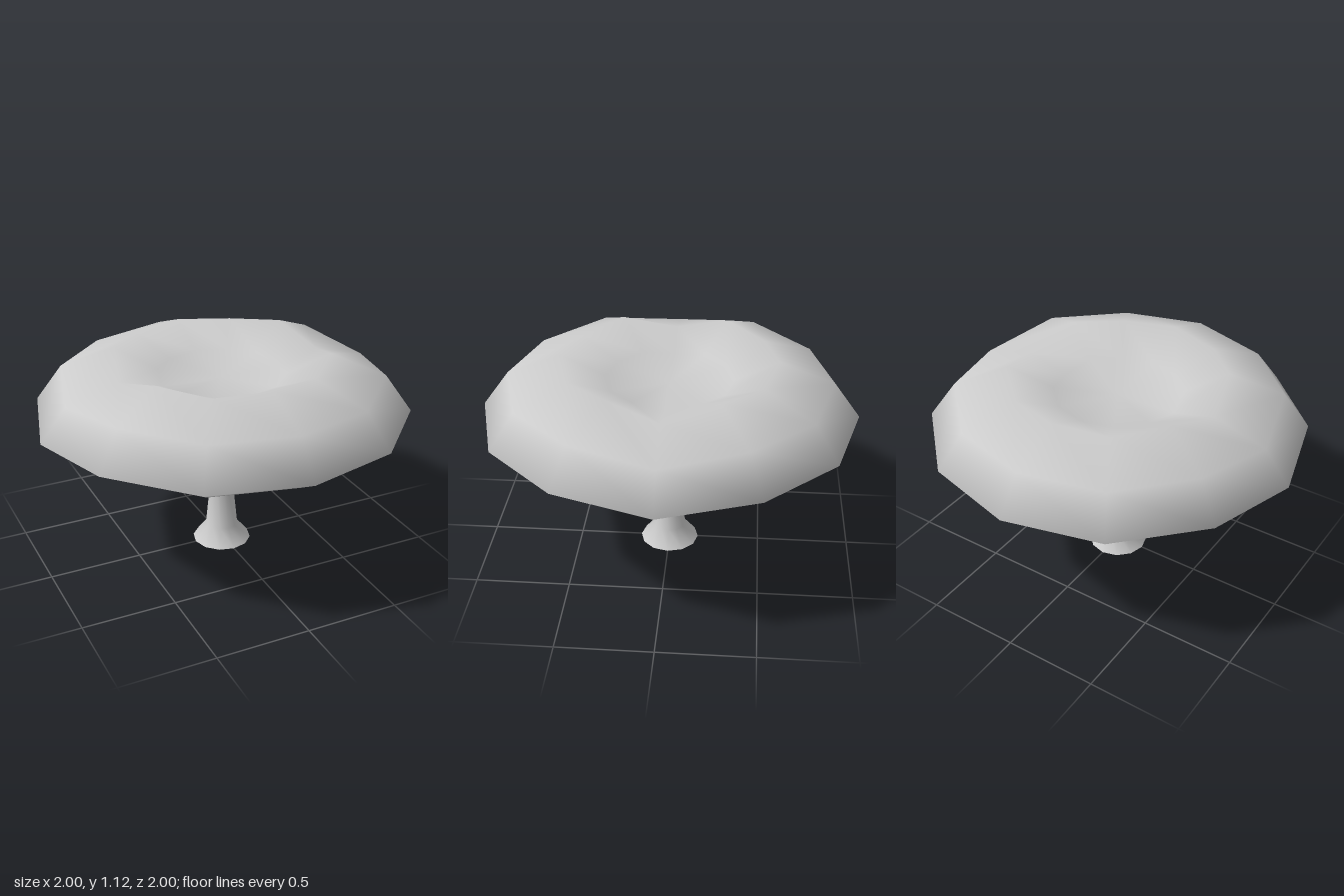
import * as THREE from 'three';
import { mergeVertices } from 'three/addons/utils/BufferGeometryUtils.js';

const SIDES = 12;

// Lathe a profile of [radius, y, sag]; sag is how far the ring dips toward the x axis.
function ringSurface(profile) {
  let geo = new THREE.LatheGeometry(profile.map(([r, y]) => new THREE.Vector2(r, y)), SIDES);
  const pos = geo.attributes.position;
  // Wave strength at 0, 30, 60 and 90 degrees from the x axis, mirrored into all quadrants
  const wave = [-1, 0.15, -0.2, 0];
  for (let i = 0; i < pos.count; i++) {
    const sag = profile[i % profile.length][2] ?? 0;
    const angle = Math.atan2(Math.abs(pos.getZ(i)), Math.abs(pos.getX(i)));
    pos.setY(i, pos.getY(i) + sag * wave[Math.round(angle / (Math.PI / 6))]);
  }
  // Weld the seam so that shading is smooth all round
  geo.deleteAttribute('uv');
  geo.deleteAttribute('normal');
  geo = mergeVertices(geo, 1e-4);
  geo.computeVertexNormals();
  return geo;
}

export function createModel() {
  const group = new THREE.Group();
  group.name = 'mushroom';
  const material = new THREE.MeshStandardMaterial({ color: 0xcccccc, side: THREE.DoubleSide });

  const add = (name, profile) => {
    const mesh = new THREE.Mesh(ringSurface(profile), material);
    mesh.name = name;
    group.add(mesh);
  };

  // Stem: open flared foot, narrow waist, trumpet-shaped top
  add('stem', [
    [0.16, 0], [0.088, 0.09], [0.055, 0.42], [0.118, 0.63], [0.34, 0.82],
  ]);

  // Cap: hollow underside, rolled rim and dished crown
  add('cap', [
    [0.34, 0.82, 0], [0.55, 0.765, 0.045], [0.72, 0.715, 0.055], [0.87, 0.735, 0.035],
    [1, 0.81, 0.025], [0.86, 1.0, 0.04], [0.57, 1.11, 0.07], [0.34, 1.0, 0.02], [0, 0.97, 0],
  ]);

  return group;
}
